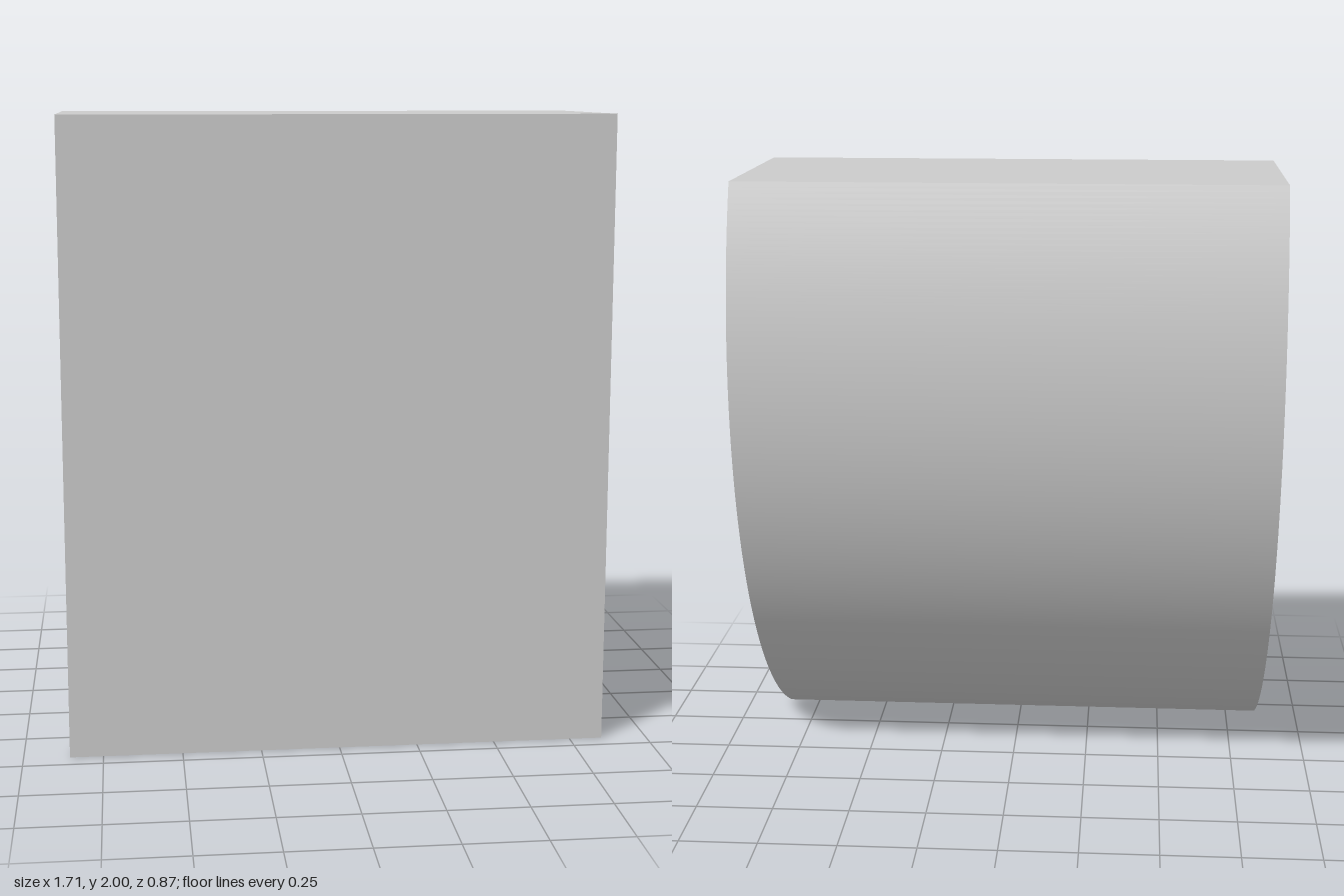
import * as THREE from 'three';
import { toCreasedNormals } from 'three/addons/utils/BufferGeometryUtils.js';

export function createModel() {
  const group = new THREE.Group();
  const width = 1.71, height = 2, front = 0.437;

  // Circle of the bulging back: its rearmost point is at z = -front, y = cy
  const cy = 1.385;
  const cz = (cy * cy) / (4 * front);
  const radius = cz + front;
  const start = Math.atan2(-cy, front - cz);
  const end = Math.PI - Math.asin((height - cy) / radius);

  // Side profile (shape x = model z): flat front, flat top, curved back
  const profile = new THREE.Shape();
  profile.moveTo(front, height);
  profile.lineTo(cz + radius * Math.cos(end), height);
  profile.absarc(cz, cy, radius, end, start + 2 * Math.PI, false);
  profile.closePath();

  // Extrude across the width and turn the profile to face sideways
  const extruded = new THREE.ExtrudeGeometry(profile, {
    depth: width, bevelEnabled: false, curveSegments: 64,
  });
  extruded.translate(0, 0, -width / 2);
  extruded.rotateY(-Math.PI / 2);

  const body = new THREE.Mesh(
    toCreasedNormals(extruded, 0.3),
    new THREE.MeshStandardMaterial({ color: 0xcccccc })
  );
  body.name = 'curvedBackBlock';
  group.add(body);
  return group;
}
